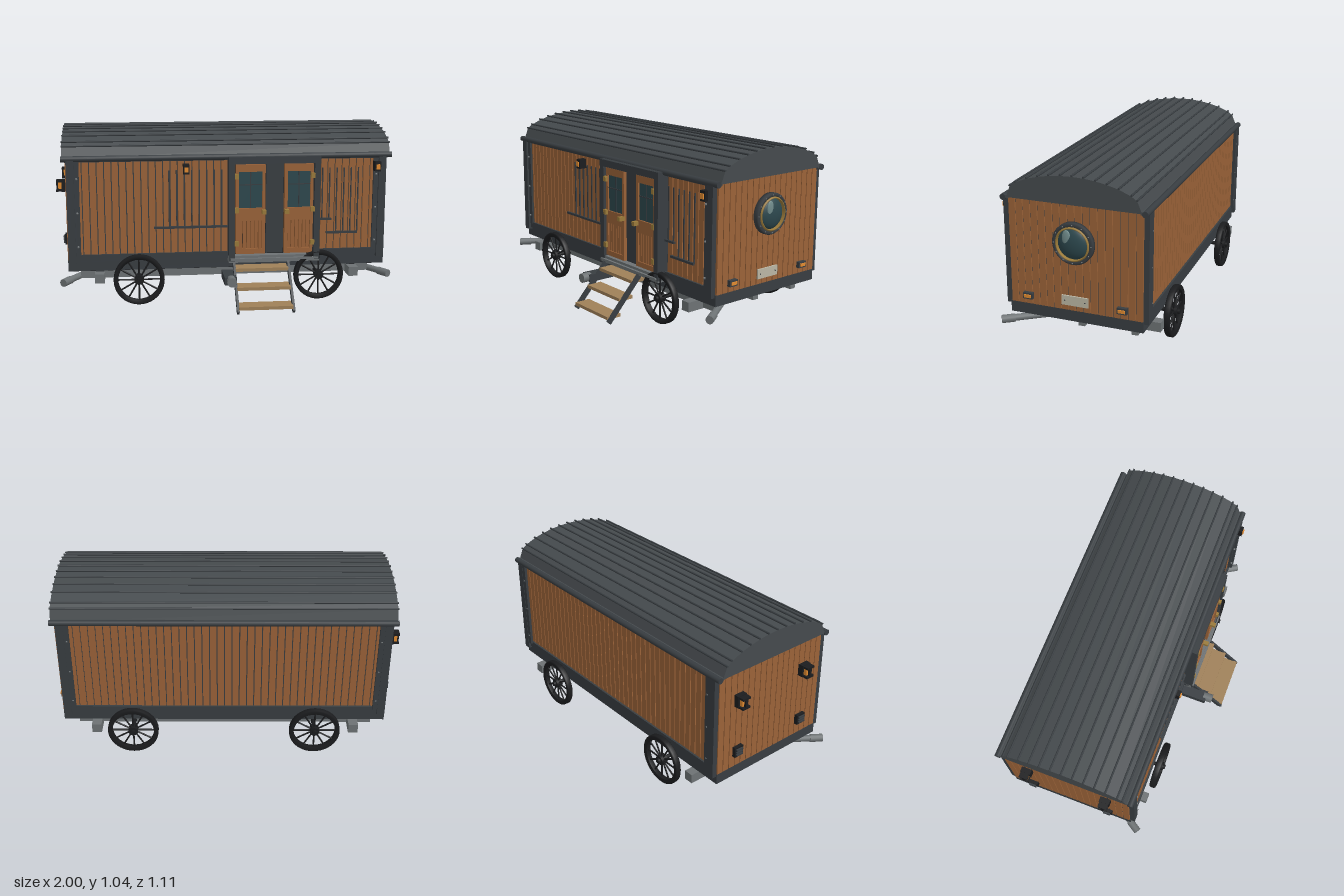
import * as THREE from 'three';

const mat = (color, side = THREE.FrontSide) => new THREE.MeshStandardMaterial({ color, side });
const M = {
  wood: mat(0x9a6238), dark: mat(0x383d41), roof: mat(0x454a4d), grey: mat(0x6d7274), black: mat(0x1b1c1e),
  tan: mat(0x9f8058), glass: mat(0x2c474d), shine: mat(0x6f8a8a), orange: mat(0xe08a30), brass: mat(0x9a7a3a), cream: mat(0xbab6a4),
};
const ZC = -0.098; // middle of the body in z

export function createModel() {
  const root = new THREE.Group();
  const add = (name, geo, m, x = 0, y = 0, z = 0, parent = root) => {
    const mesh = new THREE.Mesh(geo, m);
    mesh.name = name;
    mesh.position.set(x, y, z);
    parent.add(mesh);
    return mesh;
  };
  // box given by its limits
  const box = (name, m, x0, x1, y0, y1, z0, z1, parent = root) =>
    add(name, new THREE.BoxGeometry(x1 - x0, y1 - y0, z1 - z0), m, (x0 + x1) / 2, (y0 + y1) / 2, (z0 + z1) / 2, parent);
  // round bar between two points
  const bar = (name, m, a, b, r, n = 12, parent = root) => {
    const p = new THREE.Vector3(...a), q = new THREE.Vector3(...b), d = q.clone().sub(p);
    const mesh = add(name, new THREE.CylinderGeometry(r, r, d.length(), n), m, 0, 0, 0, parent);
    mesh.position.copy(p).add(q).multiplyScalar(0.5);
    mesh.quaternion.setFromUnitVectors(new THREE.Vector3(0, 1, 0), d.normalize());
    return mesh;
  };
  const group = (name) => {
    const g = new THREE.Group();
    g.name = name;
    root.add(g);
    return g;
  };

  // Body core and skirt
  box('wallCore', M.dark, -0.93, 0.94, 0.23, 0.88, ZC - 0.368, ZC + 0.368);
  box('floor', M.black, -0.92, 0.93, 0.208, 0.24, ZC - 0.37, ZC + 0.37);
  box('skirt', M.dark, -0.937, 0.947, 0.212, 0.275, ZC - 0.381, ZC + 0.381);
  for (const s of [-1, 1]) {
    const z = ZC + s * 0.384;
    box('skirtRail', M.dark, -0.91, 0.92, 0.27, 0.31, z - 0.008, z + 0.008);
    box('wallPlate', M.dark, -0.94, 0.95, 0.855, 0.88, z - 0.008, z + 0.008);
  }

  // Vertical planks with narrow dark gaps
  const planks = group('planks');
  const n = 42, pitch = 1.78 / n;
  for (let i = 0; i < n; i++) {
    const x = -0.885 + i * pitch;
    box('backPlank', M.wood, x, x + pitch - 0.006, 0.29, 0.865, ZC - 0.381, ZC - 0.36, planks);
    if (x + pitch < 0.02 || x > 0.52) box('frontPlank', M.wood, x, x + pitch - 0.006, 0.29, 0.865, ZC + 0.36, ZC + 0.381, planks);
  }
  const m = 18, w = 0.756 / m;
  for (let i = 0; i < m; i++) {
    const z = ZC - 0.378 + i * w;
    box('endPlank', M.wood, 0.935, 0.948, 0.275, 0.88, z, z + w - 0.005, planks);
    box('endPlank', M.wood, -0.938, -0.925, 0.275, 0.88, z, z + w - 0.005, planks);
  }

  // Corner posts with bolts
  for (const sx of [-1, 1]) for (const sz of [-1, 1]) {
    const x = 0.004 + sx * 0.914, z = ZC + sz * 0.392;
    box('cornerPost', M.dark, x - 0.022, x + 0.022, 0.26, 0.87, z - 0.015, z + 0.015);
    const xs = 0.004 + sx * 0.878;
    box('cornerStrip', M.dark, xs - 0.014, xs + 0.014, 0.3, 0.865, z - 0.013, z + 0.003);
    for (const y of [0.36, 0.56, 0.76]) add('bolt', new THREE.SphereGeometry(0.007, 8, 6), M.grey, xs, y, z + sz * 0.009);
  }

  // Curved roof, seams and eave tubes
  const half = [[0.376, 0.875], [0.35, 0.938], [0.32, 0.96], [0.253, 0.988], [0.19, 1.005], [0.128, 1.017], [0.064, 1.024], [0, 1.026]];
  const profile = [...half, ...half.slice(0, -1).reverse().map(([x, y]) => [-x, y])];
  const roofShape = new THREE.Shape(profile.map(([x, y]) => new THREE.Vector2(x, y)));
  const roof = add('roof', new THREE.ExtrudeGeometry(roofShape, { depth: 1.925, bevelEnabled: false }), M.roof, -0.957, 0, ZC);
  roof.rotation.y = Math.PI / 2;
  const seams = group('roofSeams');
  profile.slice(1, -1).forEach(([z, y]) => bar('roofSeam', M.dark, [-0.96, y + 0.005, ZC + z], [0.972, y + 0.005, ZC + z], 0.0055, 8, seams));
  for (const s of [-1, 1]) {
    bar('eaveTube', M.dark, [-0.96, 0.875, ZC + s * 0.393], [0.972, 0.875, ZC + s * 0.393], 0.017, 16);
    box('eave', M.roof, -0.955, 0.967, 0.868, 0.885, ZC + s * 0.38 - 0.014, ZC + s * 0.38 + 0.014);
  }

  // Front wall rails and battens
  box('railLong', M.dark, -0.435, 0.01, 0.455, 0.468, 0.28, 0.295);
  box('railShort', M.dark, 0.53, 0.62, 0.486, 0.498, 0.28, 0.295);
  box('railLow', M.dark, 0.59, 0.78, 0.403, 0.416, 0.28, 0.295);
  for (let i = 0; i < 8; i++) box('batten', M.dark, -0.348 + i * 0.044, -0.34 + i * 0.044, 0.46, 0.8, 0.28, 0.288);
  for (let i = 0; i < 6; i++) box('batten', M.dark, 0.56 + i * 0.043, 0.567 + i * 0.043, i < 2 ? 0.49 : 0.41, 0.8, 0.28, 0.288);

  // Door frame and pair of doors
  const doorway = group('doorway');
  box('doorBack', M.black, 0.01, 0.53, 0.28, 0.86, 0.265, 0.295, doorway);
  for (const [a, b] of [[0, 0.035], [0.505, 0.54]]) box('doorJamb', M.dark, a, b, 0.26, 0.85, 0.27, 0.343, doorway);
  box('doorLintel', M.dark, 0, 0.54, 0.837, 0.878, 0.27, 0.343, doorway);
  box('doorPost', M.dark, 0.222, 0.325, 0.3, 0.84, 0.28, 0.315, doorway);
  box('sill', M.grey, 0, 0.54, 0.25, 0.292, 0.27, 0.338, doorway);
  box('sillLip', M.grey, 0.01, 0.53, 0.265, 0.277, 0.33, 0.352, doorway);
  for (const [a, b, hinge, knob] of [[0.042, 0.216, 0.046, 0.206], [0.33, 0.5, 0.496, 0.34]]) {
    const door = group('door');
    for (const [p, q] of [[a, a + 0.018], [b - 0.018, b]]) box('doorStile', M.wood, p, q, 0.3, 0.832, 0.295, 0.33, door);
    for (const [p, q] of [[0.3, 0.33], [0.5, 0.575], [0.79, 0.832]]) box('doorRail', M.wood, a, b, p, q, 0.295, 0.33, door);
    for (let i = 0; i < 6; i++) {
      const s = (b - a - 0.036) / 6, x = a + 0.018 + i * s;
      box('doorPanelBoard', M.wood, x + 0.002, x + s - 0.002, 0.33, 0.5, 0.295, 0.323, door);
    }
    box('doorGlass', M.glass, a + 0.015, b - 0.015, 0.57, 0.795, 0.295, 0.32, door);
    box('doorMuntin', M.dark, (a + b) / 2 - 0.003, (a + b) / 2 + 0.003, 0.575, 0.79, 0.318, 0.324, door);
    box('doorMuntin', M.dark, a + 0.018, b - 0.018, 0.71, 0.716, 0.318, 0.324, door);
    for (const y of [0.365, 0.565, 0.765]) box('hinge', M.brass, hinge - 0.012, hinge + 0.012, y - 0.015, y + 0.015, 0.325, 0.346, door);
    box('doorHandle', M.brass, knob - 0.012, knob + 0.012, 0.543, 0.567, 0.325, 0.363, door);
  }

  // Steps
  const steps = group('steps');
  for (let i = 0; i < 3; i++) box('tread', M.tan, 0.035, 0.35, 0.026 + i * 0.09, 0.045 + i * 0.09, 0.46 - i * 0.088, 0.556 - i * 0.088, steps);
  for (const x of [0.031, 0.354]) {
    const s = add('stringer', new THREE.BoxGeometry(0.014, 0.325, 0.03), M.dark, x, 0.128, 0.438, steps);
    s.rotation.x = -0.74;
  }

  // Undercarriage
  const chassis = group('chassis');
  for (const z of [0.2, -0.097, -0.403]) box('longBeam', M.grey, -0.87, 0.87, 0.15, 0.195, z - 0.019, z + 0.019, chassis);
  for (const x of [-0.755, 0.755]) {
    box('crossBeam', M.grey, x - 0.028, x + 0.028, 0.145, 0.2, -0.52, 0.325, chassis);
    box('crossBeamBlock', M.dark, x - 0.025, x + 0.025, 0.195, 0.215, -0.45, 0.26, chassis);
    const s = Math.sign(x);
    bar('drawbar', M.grey, [s * 0.755, 0.165, 0.02], [s * 0.958, 0.16, 0.325], 0.019, 14, chassis);
    bar('drawbarCap', M.grey, [s * 0.925, 0.16, 0.275], [s * 0.965, 0.158, 0.338], 0.023, 14, chassis);
  }
  box('sideMotor', M.dark, -0.036, 0.035, 0.147, 0.192, 0.27, 0.45, chassis);
  bar('sideMotorDrum', M.grey, [0.003, 0.172, 0.43], [0.003, 0.172, 0.488], 0.028, 18, chassis);

  // Spoked wheels: rim lathe, hub, twelve spokes
  const rim = new THREE.LatheGeometry([[0.122, -0.014], [0.142, -0.019], [0.149, -0.013], [0.149, 0.013], [0.142, 0.019], [0.122, 0.014], [0.122, -0.014]]
    .map(([r, y]) => new THREE.Vector2(r, y)), 40);
  for (const x of [-0.527, 0.54]) {
    bar('axle', M.black, [x, 0.163, -0.52], [x, 0.163, 0.325], 0.012);
    for (const [z, s] of [[0.325, 1], [-0.52, -1]]) {
      const wheel = group('wheel');
      wheel.position.set(x, 0.163, z);
      add('rim', rim, M.black, 0, 0, 0, wheel).rotation.x = Math.PI / 2;
      bar('hub', M.black, [0, 0, -0.02], [0, 0, 0.02], 0.028, 20, wheel);
      bar('hubCap', M.black, [0, 0, 0], [0, 0, s * 0.034], 0.014, 16, wheel);
      for (let i = 0; i < 12; i++) {
        const a = i * Math.PI / 6;
        bar('spoke', M.black, [0, 0, 0], [Math.cos(a) * 0.127, Math.sin(a) * 0.127, 0], 0.005, 8, wheel);
      }
    }
  }

  // Porthole on the +x end
  const port = group('porthole');
  port.position.set(0.948, 0.665, ZC);
  port.rotation.y = Math.PI / 2;
  const ring = (name, material, r0, r1, h) => {
    const pts = [[r0, 0], [r1, 0], [r1, h * 0.75], [r1 - 0.006, h], [r0, h], [r0, 0]].map(([r, y]) => new THREE.Vector2(r, y));
    add(name, new THREE.LatheGeometry(pts, 48), material, 0, 0, 0, port).rotation.x = Math.PI / 2;
  };
  ring('portholeRing', M.dark, 0.09, 0.116, 0.03);
  ring('portholeTrim', M.brass, 0.086, 0.097, 0.037);
  const lens = add('portholeGlass', new THREE.SphereGeometry(0.088, 36, 18), M.glass, 0, 0, 0.008, port);
  lens.scale.z = 0.45;
  const glint = add('portholeGlint', new THREE.SphereGeometry(0.024, 20, 12), M.shine, -0.028, 0.036, 0.038, port);
  glint.scale.set(1, 1.8, 0.35);
  for (let i = 0; i < 12; i++) {
    const a = i * Math.PI / 6;
    add('portholeBolt', new THREE.SphereGeometry(0.004, 8, 6), M.grey, Math.cos(a) * 0.105, Math.sin(a) * 0.105, 0.03, port);
  }

  // Plate and end lamps on the +x end
  box('plate', M.cream, 0.945, 0.957, 0.306, 0.361, -0.173, -0.021);
  for (const z of [-0.155, -0.04]) add('plateScrew', new THREE.SphereGeometry(0.004, 8, 6), M.dark, 0.957, 0.333, z);
  for (const z of [0.172, -0.366]) {
    box('endLampFrame', M.dark, 0.945, 0.97, 0.31, 0.345, z - 0.028, z + 0.028);
    box('endLamp', M.orange, 0.96, 0.976, 0.319, 0.336, z - 0.02, z + 0.02);
  }

  // Front lamps
  for (const x of [-0.245, 0.885]) {
    box('frontLampFrame', M.black, x - 0.018, x + 0.018, 0.78, 0.837, 0.28, 0.33);
    box('frontLamp', M.orange, x - 0.011, x + 0.011, 0.793, 0.822, 0.32, 0.337);
  }

  // Lanterns and vents on the -x end
  for (const z of [-0.34, 0.14]) {
    box('lanternBack', M.black, -0.968, -0.93, 0.665, 0.735, z - 0.03, z + 0.03);
    box('lanternLight', M.orange, -0.988, -0.96, 0.68, 0.72, z - 0.02, z + 0.02);
    for (const y of [0.669, 0.725]) box('lanternCap', M.black, -1, -0.96, y - 0.004, y + 0.008, z - 0.026, z + 0.026);
    box('lanternFront', M.black, -1, -0.988, 0.669, 0.73, z - 0.008, z + 0.008);
    box('ventFrame', M.black, -0.958, -0.93, 0.345, 0.405, z - 0.03, z + 0.03);
    for (let i = 0; i < 3; i++) box('ventSlat', M.dark, -0.967, -0.95, 0.355 + i * 0.016, 0.364 + i * 0.016, z - 0.022, z + 0.022);
  }
  return root;
}
